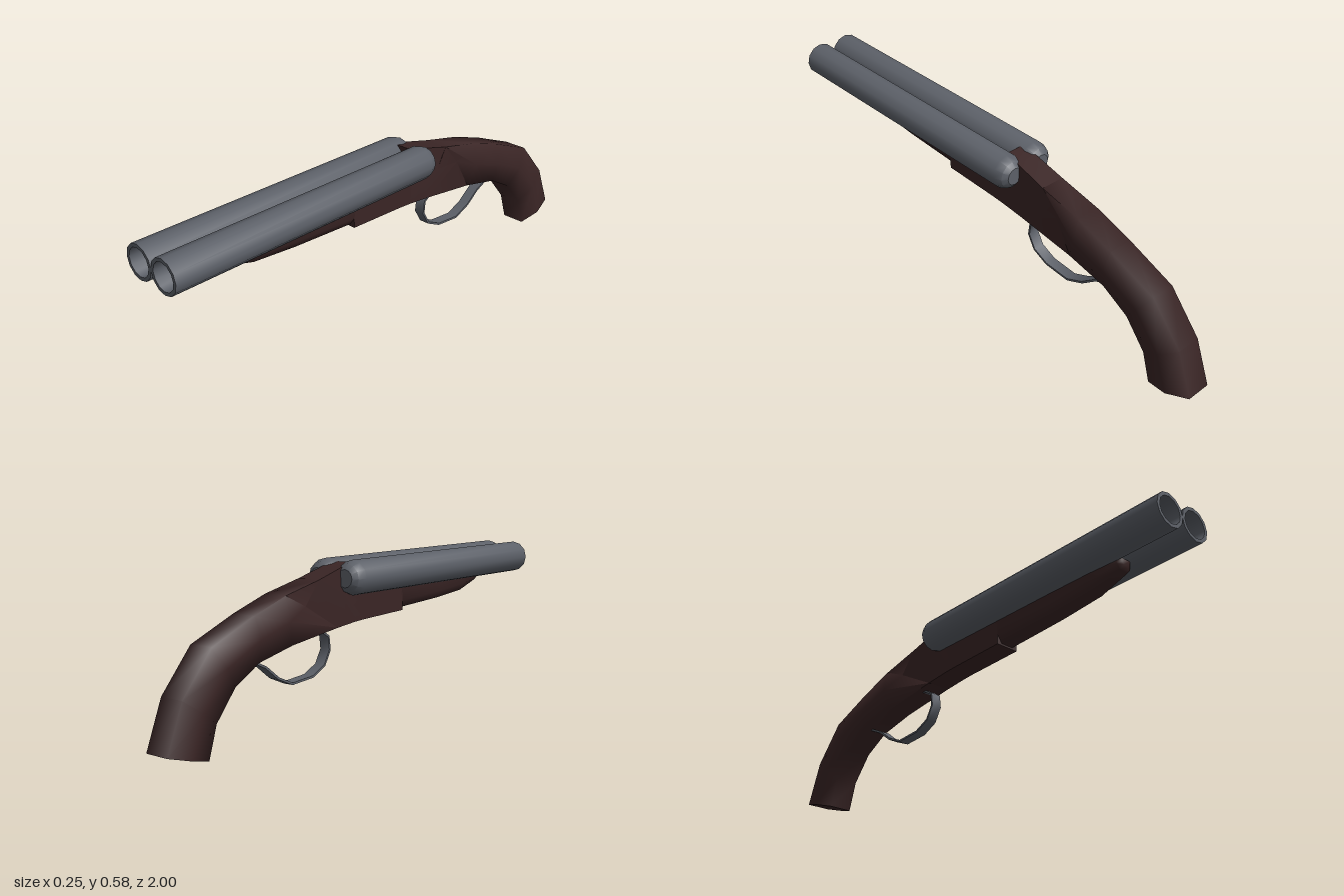
import * as THREE from 'three';
import { toCreasedNormals } from 'three/addons/utils/BufferGeometryUtils.js';

// Skin a list of rings (each anticlockwise seen from the start) and cap both ends
function loft(rings, crease) {
  const n = rings[0].length, last = (rings.length - 1) * n, index = [];
  for (let k = 0; k < rings.length - 1; k++) {
    for (let i = 0; i < n; i++) {
      const a = k * n + i, b = k * n + (i + 1) % n, c = a + n, d = b + n;
      index.push(a, c, b, b, c, d);
    }
  }
  for (let i = 1; i < n - 1; i++) {
    index.push(0, i, i + 1, last, last + i + 1, last + i);
  }
  const g = new THREE.BufferGeometry();
  g.setAttribute('position', new THREE.Float32BufferAttribute(rings.flat(2), 3));
  g.setIndex(index);
  return toCreasedNormals(g, crease);
}

// Six-sided section from its top and bottom (z, y), half widths and middle z
function section([zt, yt], [zb, yb], wt, wm, wb, zm = (zt + zb) / 2, ym = (yt + yb) / 2) {
  return [[wt, yt, zt], [-wt, yt, zt], [-wm, ym, zm], [-wb, yb, zb], [wb, yb, zb], [wm, ym, zm]];
}

export function createModel() {
  const group = new THREE.Group();
  const steel = new THREE.MeshStandardMaterial({ color: 0x5c6068 });
  steel.name = 'steel grey';
  const wood = new THREE.MeshStandardMaterial({ color: 0x3a2525 });
  wood.name = 'dark wood';
  const add = (name, geometry, material) => {
    const mesh = new THREE.Mesh(geometry, material);
    mesh.name = name;
    group.add(mesh);
    return mesh;
  };

  // Twin barrels with rounded breech ends and hollow muzzles
  const profile = [[0, -0.18], [0.033, -0.18], [0.052, -0.165], [0.064, -0.135],
    [0.064, 1], [0.051, 1], [0.051, 0.5], [0, 0.5]].map(p => new THREE.Vector2(...p));
  const barrel = toCreasedNormals(new THREE.LatheGeometry(profile, 12).rotateX(Math.PI / 2), 0.65);
  for (const side of [1, -1]) {
    add(side > 0 ? 'leftBarrel' : 'rightBarrel', barrel, steel).position.set(side * 0.063, 0.52, 0);
  }

  // Flat-sided receiver, rising behind the barrels
  const w = 0.047;
  const joint = section([-0.3, 0.525], [-0.2, 0.346], w, w, w, -0.37, 0.44);
  add('receiver', loft([
    section([0.19, 0.475], [0.19, 0.367], w, w, w),
    section([-0.11, 0.475], [-0.05, 0.359], w, w, w, -0.11),
    section([-0.11, 0.572], [-0.1, 0.356], 0.026, w, w, -0.11),
    section([-0.17, 0.56], [-0.14, 0.352], 0.044, w, w, -0.17),
    joint,
  ], 0.4), wood);

  // Curved grip
  add('grip', loft([
    joint,
    section([-0.47, 0.487], [-0.44, 0.315], w, 0.067, w, -0.47),
    section([-0.62, 0.437], [-0.6, 0.28], w, 0.067, w),
    section([-0.81, 0.36], [-0.71, 0.218], w, 0.067, w),
    section([-0.935, 0.215], [-0.795, 0.115], w, 0.067, w),
    section([-1, 0.05], [-0.83, 0.002], w, 0.067, w),
  ], 1.45), wood);

  // Fore-end under the barrels, with bevelled lower edges
  const foreEnd = [[0.762, 0.452, 0.02], [0.75, 0.435, 0.034], [0.63, 0.402, 0.044],
    [0.45, 0.387, w], [0.185, 0.374, w]];
  add('foreEnd', loft(foreEnd.map(([z, y, half]) =>
    section([z, 0.475], [z, y], half, half, half * 0.55, z, y + Math.min(0.03, (0.47 - y) / 2))
  ), 1.2), wood);

  // Trigger guard: a thin bent strip
  const path = [[-0.29, 0.345], [-0.255, 0.338], [-0.218, 0.315], [-0.212, 0.265], [-0.242, 0.213],
    [-0.305, 0.183], [-0.41, 0.175], [-0.48, 0.205], [-0.54, 0.252], [-0.61, 0.285]];
  const guard = path.map(([z, y], i) => {
    const p = path[Math.max(i - 1, 0)], q = path[Math.min(i + 1, path.length - 1)];
    const t = new THREE.Vector2(q[0] - p[0], q[1] - p[1]).normalize().multiplyScalar(0.004);
    return [[1, 1], [-1, 1], [-1, -1], [1, -1]].map(([sx, s]) =>
      [sx * 0.021, y - s * t.x, z + s * t.y]);
  });
  add('triggerGuard', loft(guard, 1), steel);

  return group;
}
